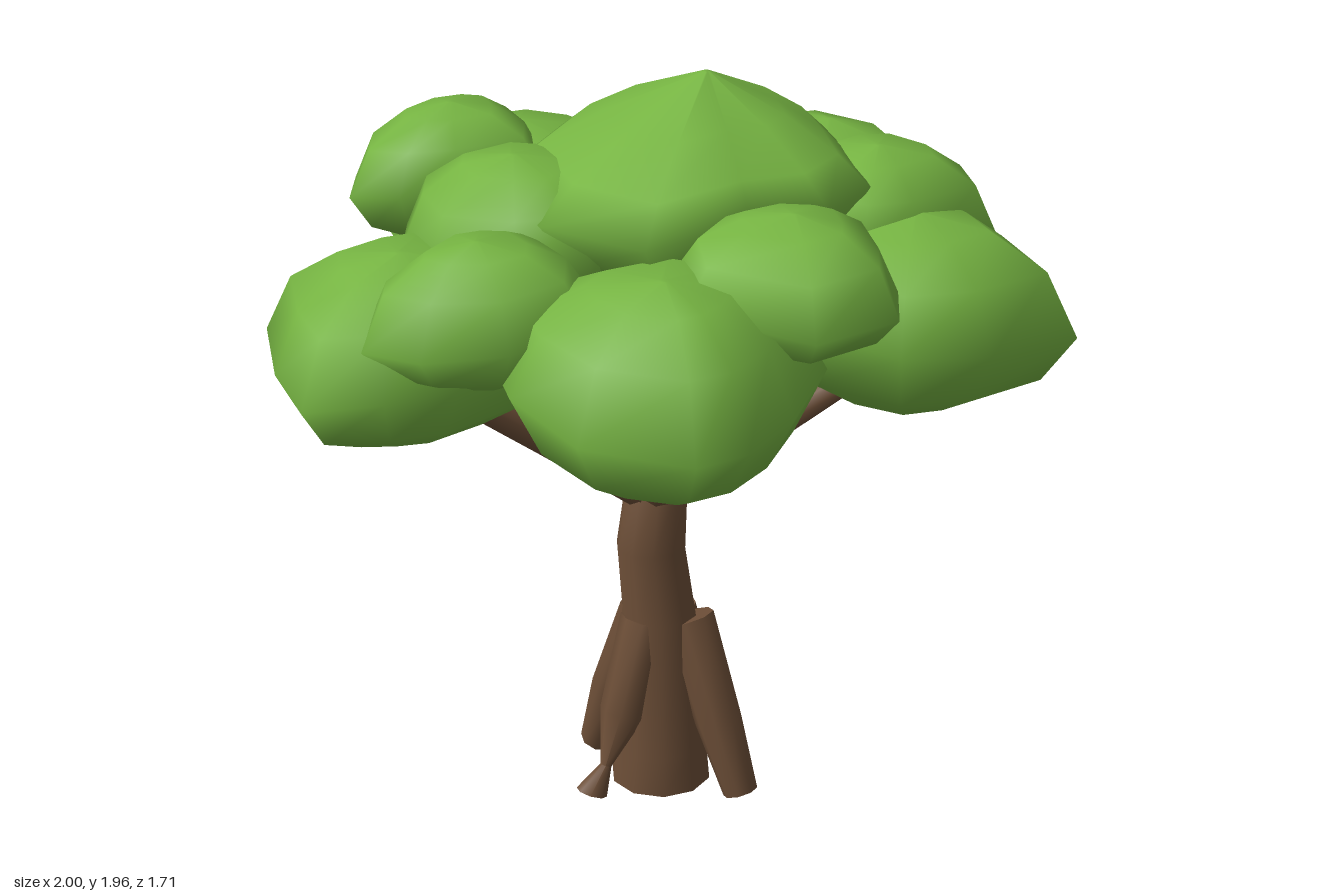
import * as THREE from 'three';
import { toCreasedNormals } from 'three/addons/utils/BufferGeometryUtils.js';

const leafGreen = new THREE.MeshStandardMaterial({ name: 'leafGreen', color: 0x76b442 });
const barkBrown = new THREE.MeshStandardMaterial({ name: 'barkBrown', color: 0x6c4e37 });

// closed skin over a stack of rings with the same number of corners
function skin(rings) {
  const n = rings[0].length, idx = [];
  for (let i = 0; i < rings.length - 1; i++) {
    for (let k = 0; k < n; k++) {
      const a = i * n + k, b = i * n + ((k + 1) % n);
      idx.push(a, b, b + n, a, b + n, a + n);
    }
  }
  const top = (rings.length - 1) * n;
  for (let k = 1; k < n - 1; k++) idx.push(0, k + 1, k, top, top + k, top + k + 1);
  const geo = new THREE.BufferGeometry().setFromPoints(rings.flat());
  geo.setIndex(idx);
  return geo;
}

// round limb through a list of [x, y, z, radius]
function limb(name, stops, sides = 8) {
  const pts = stops.map((s) => new THREE.Vector3(s[0], s[1], s[2]));
  const axis = pts[pts.length - 1].clone().sub(pts[0]).normalize();
  const turn = new THREE.Quaternion().setFromUnitVectors(new THREE.Vector3(0, 1, 0), axis);
  const rings = pts.map((p, i) => Array.from({ length: sides }, (_, k) => {
    const a = (k / sides) * Math.PI * 2, r = stops[i][3];
    return new THREE.Vector3(Math.sin(a) * r, 0, Math.cos(a) * r).applyQuaternion(turn).add(p);
  }));
  const mesh = new THREE.Mesh(toCreasedNormals(skin(rings), 0.95), barkBrown);
  mesh.name = name;
  return mesh;
}

// profiles of a clump from rim to pole: [share of the outline, share of the height]
const domed = [[0.8, 0.58], [0.45, 0.9], [0.03, 1]];
const pointed = [[0.8, 0.3], [0.48, 0.64], [0.02, 1]];

// leaf clump: plan outline of [x, z] corners, rim height on the outer and inner side, top and bottom
function clump(name, outline, rimOut, rimIn, top, bottom, upper = domed) {
  const n = outline.length;
  const c = new THREE.Vector2();
  outline.forEach(([x, z]) => c.add(new THREE.Vector2(x / n, z / n)));
  const out = c.clone().normalize();
  const corners = outline.map(([x, z]) => new THREE.Vector2(x, z).sub(c))
    .sort((a, b) => Math.atan2(a.x, a.y) - Math.atan2(b.x, b.y));
  const reach = Math.max(...corners.map((p) => Math.abs(p.dot(out))));
  const ring = ([s, t], pole) => corners.map((p) => {
    const rim = THREE.MathUtils.lerp(rimIn, rimOut, 0.5 + 0.5 * p.dot(out) / reach);
    return new THREE.Vector3(c.x + p.x * s, THREE.MathUtils.lerp(rim, pole, t), c.y + p.y * s);
  });
  const geo = skin([
    ...domed.map((d) => ring(d, bottom)).reverse(),
    ring([1, 0], top),
    ...upper.map((d) => ring(d, top)),
  ]);
  geo.computeVertexNormals();
  const mesh = new THREE.Mesh(geo, leafGreen);
  mesh.name = name;
  return mesh;
}

export function createModel() {
  const tree = new THREE.Group();
  tree.name = 'tree';

  // trunk
  tree.add(limb('trunk', [
    [0.05, 0.01, 0.04, 0.135], [0.05, 0.12, 0.04, 0.125], [0.05, 0.5, 0.03, 0.1],
    [0.03, 0.7, 0.02, 0.092], [0.045, 0.88, 0.025, 0.082], [0.05, 0.96, 0.02, 0.05],
  ], 10));

  // buttress roots, the right one pinched above its foot
  const roots = new THREE.Group();
  roots.name = 'roots';
  roots.add(
    limb('leftRoot', [[0.28, 0.025, -0.04, 0.047], [0.21, 0.22, -0.02, 0.062], [0.11, 0.49, 0.01, 0.065]]),
    limb('frontRoot', [[0.135, 0.025, 0.27, 0.047], [0.115, 0.22, 0.2, 0.063], [0.1, 0.49, 0.09, 0.07]]),
    limb('backRoot', [[0.01, 0.025, -0.185, 0.047], [0.02, 0.22, -0.12, 0.063], [0.04, 0.49, -0.02, 0.065]]),
    limb('rightRoot', [[-0.18, 0.03, 0.03, 0.042], [-0.135, 0.1, 0.035, 0.015], [-0.08, 0.24, 0.035, 0.06], [0, 0.49, 0.03, 0.065]]),
  );
  tree.add(roots);

  // branches: [tip, fork start fraction, fork tip]
  const branches = new THREE.Group();
  branches.name = 'branches';
  [
    [[-0.56, 1.28, -0.1], 0.5, [-0.42, 1.3, 0.06]],
    [[-0.24, 1.32, 0.4], 0.6, [-0.1, 1.36, 0.3]],
    [[0.42, 1.27, 0.46], 0.6, [0.36, 1.34, 0.28]],
    [[0.64, 1.28, -0.08], 0.55, [0.44, 1.32, -0.24]],
    [[0.06, 1.38, -0.52], 0.55, [-0.14, 1.36, -0.34]],
  ].forEach(([tip, f, forkTip]) => {
    const base = [0.045 + tip[0] * 0.05, 0.86, 0.025 + tip[2] * 0.05];
    const at = base.map((b, i) => b + (tip[i] - b) * f);
    branches.add(
      limb('branch', [[...base, 0.055], [...at, 0.04], [...tip, 0.028]]),
      limb('twig', [[...at, 0.034], [...forkTip, 0.024]], 7),
    );
  });
  tree.add(branches);

  // leaf clumps
  const foliage = new THREE.Group();
  foliage.name = 'foliage';
  foliage.add(
    clump('crownClump', [[-0.38, 0.1], [-0.3, 0.4], [0, 0.42], [0.18, 0.5], [0.37, 0.44], [0.5, 0.22], [0.59, 0.03], [0.53, -0.2], [0.38, -0.4], [0.12, -0.45], [-0.25, -0.25]],
      1.73, 1.7, 1.97, 1.48, pointed),
    clump('frontRightClump', [[-0.66, 0.35], [-0.66, 0.6], [-0.5, 0.82], [-0.37, 0.85], [-0.2, 0.81], [0, 0.7], [0.08, 0.45], [-0.05, 0.2], [-0.4, 0.12], [-0.6, 0.2]],
      1.36, 1.5, 1.68, 1.17),
    clump('frontLeftClump', [[0.8, 0.35], [0.8, 0.55], [0.7, 0.84], [0.4, 0.84], [0.18, 0.76], [0.06, 0.5], [0.15, 0.22], [0.5, 0.12], [0.72, 0.2]],
      1.37, 1.48, 1.65, 1.16),
    clump('frontUpperClump', [[-0.31, 0.55], [-0.2, 0.38], [-0.1, 0.3], [0.12, 0.33], [0.25, 0.45], [0.29, 0.55], [0.2, 0.72], [0.1, 0.83], [-0.15, 0.82]],
      1.57, 1.64, 1.77, 1.45),
    clump('rightLowClump', [[-1, 0], [-0.93, -0.22], [-0.8, -0.46], [-0.5, -0.47], [-0.3, -0.4], [-0.2, -0.1], [-0.35, 0.2], [-0.7, 0.2], [-0.85, 0.12]],
      1.35, 1.45, 1.63, 1.17),
    clump('rightUpperClump', [[-0.86, 0.05], [-0.8, 0.2], [-0.65, 0.34], [-0.45, 0.37], [-0.35, 0.25], [-0.33, 0.05], [-0.42, -0.05], [-0.55, -0.1], [-0.8, -0.02]],
      1.49, 1.6, 1.72, 1.37),
    clump('leftLowClump', [[0.8, -0.43], [0.9, -0.4], [0.95, -0.2], [1, 0], [0.95, 0.12], [0.83, 0.22], [0.45, 0.18], [0.28, -0.1], [0.5, -0.4]],
      1.38, 1.45, 1.68, 1.18),
    clump('leftUpperClump', [[0.84, 0.35], [0.8, 0.1], [0.65, 0.02], [0.45, 0.04], [0.3, 0.2], [0.25, 0.4], [0.3, 0.5], [0.45, 0.54], [0.74, 0.52]],
      1.53, 1.62, 1.76, 1.42),
    clump('backLeftClump', [[0.48, -0.66], [0.62, -0.58], [0.76, -0.5], [0.78, -0.3], [0.73, -0.15], [0.55, -0.07], [0.35, -0.1], [0.2, -0.3], [0.28, -0.52]],
      1.5, 1.6, 1.75, 1.35),
    clump('backLowClump', [[-0.2, -0.83], [0.06, -0.86], [0.28, -0.79], [0.4, -0.55], [0.4, -0.3], [0.1, -0.12], [-0.2, -0.15], [-0.3, -0.4], [-0.27, -0.7]],
      1.42, 1.48, 1.72, 1.22),
    clump('backUpperClump', [[-0.49, -0.54], [-0.37, -0.69], [-0.14, -0.75], [0.02, -0.7], [0.09, -0.6], [0.03, -0.42], [-0.08, -0.28], [-0.3, -0.34], [-0.42, -0.42]],
      1.6, 1.66, 1.81, 1.46),
    clump('innerClump', [[-0.57, -0.1], [-0.5, -0.3], [-0.4, -0.42], [-0.1, -0.4], [0.05, -0.2], [0, 0.1], [-0.3, 0.2], [-0.45, 0.1]],
      1.55, 1.62, 1.8, 1.32),
  );
  tree.add(foliage);

  return tree;
}
